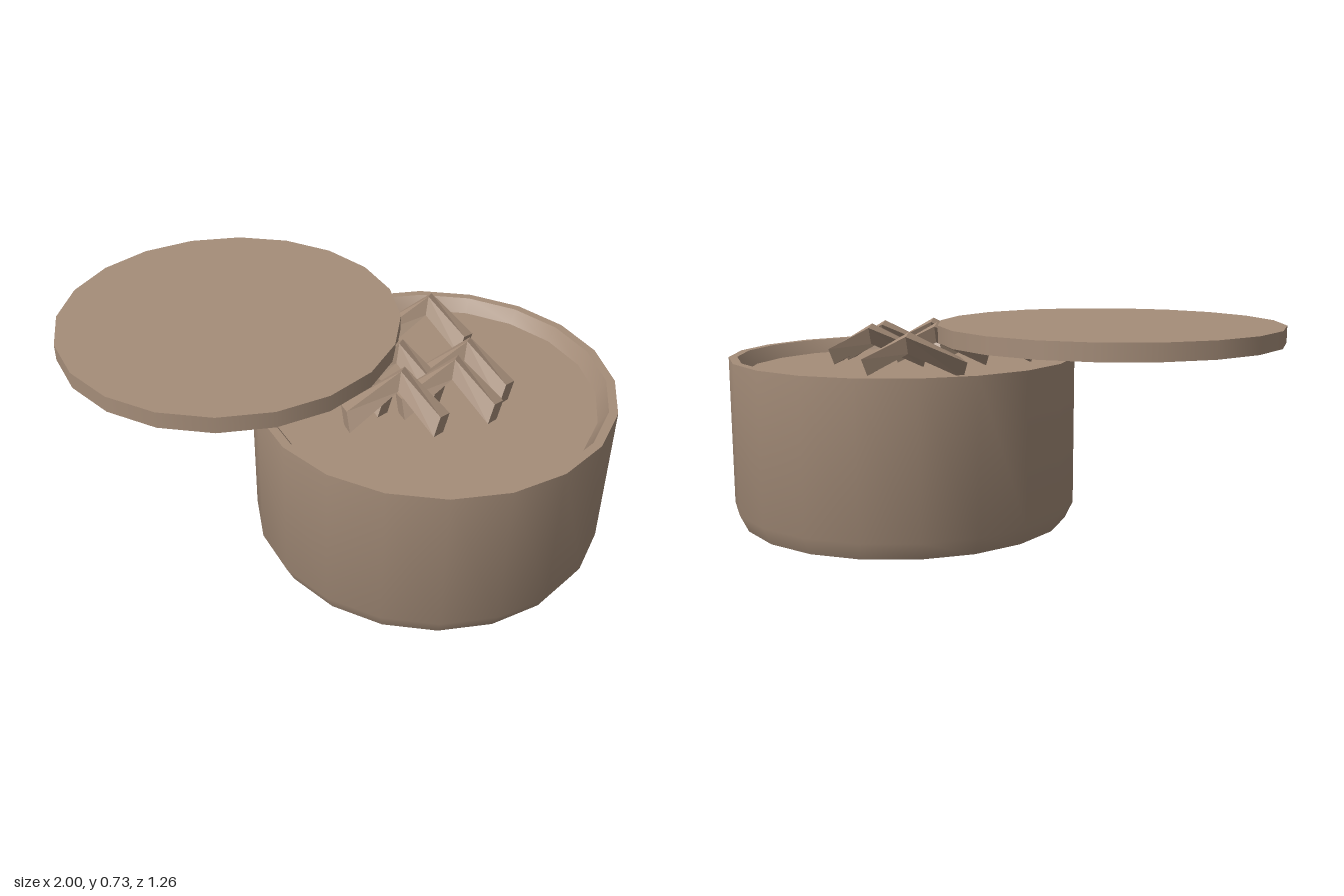
import * as THREE from 'three';
import { toCreasedNormals } from 'three/addons/utils/BufferGeometryUtils.js';

const SIDES = 20;

// Bent bar: a slanted four-sided section swept from left tip over the bend to right tip
function bentBarGeometry() {
  const section = [[0, 0], [0.012, 0.05], [-0.05, 0.08], [-0.06, 0.03]]; // y, z
  const stations = [
    { p: [-0.18, -0.10, 0.14], lean: 0.7 },
    { p: [0, 0, 0], lean: 0 },
    { p: [0.18, -0.09, 0.09], lean: -0.4 },
  ];
  const pos = [];
  for (const { p, lean } of stations) {
    for (const [y, z] of section) pos.push(p[0] + lean * z, p[1] + y, p[2] + z);
  }
  const index = [0, 2, 1, 0, 3, 2, 8, 9, 10, 8, 10, 11]; // end caps
  for (let s = 0; s < 2; s++) {
    for (let i = 0; i < 4; i++) {
      const a = s * 4 + i, b = s * 4 + ((i + 1) % 4);
      index.push(a, b, b + 4, a, b + 4, a + 4);
    }
  }
  const g = new THREE.BufferGeometry();
  g.setAttribute('position', new THREE.Float32BufferAttribute(pos, 3));
  g.setIndex(index);
  const flat = g.toNonIndexed();
  flat.computeVertexNormals();
  return flat;
}

export function createModel() {
  const model = new THREE.Group();
  const clay = new THREE.MeshStandardMaterial({ color: 0xa58d79 });
  clay.name = 'warm clay brown';

  const add = (name, geometry, x, y, z, parent = model) => {
    const mesh = new THREE.Mesh(geometry, clay);
    mesh.name = name;
    mesh.position.set(x, y, z);
    parent.add(mesh);
    return mesh;
  };

  // Pot with chamfered foot, thin rim and shallow recessed filling
  const profile = [[0, 0], [0.6, 0], [0.63, 0.062], [0.63, 0.6], [0.6, 0.6], [0.57, 0.55], [0, 0.55]]
    .map(([r, y]) => new THREE.Vector2(r, y));
  add('pot', toCreasedNormals(new THREE.LatheGeometry(profile, SIDES), 0.6), 0.37, 0, 0);

  // Lid slid off to one side
  add('lid', new THREE.CylinderGeometry(0.615, 0.615, 0.06, SIDES), -0.385, 0.695, 0);

  // Bent bars resting on the filling, placed by the bend
  const bars = new THREE.Group();
  bars.name = 'bentBars';
  model.add(bars);
  const bar = bentBarGeometry();
  const bends = [[0.26, -0.41], [0.46, -0.15], [0.445, -0.025], [0.29, 0.1], [0.24, -0.065], [0.085, 0.05]];
  bends.forEach(([x, z], i) => add(`bentBar${i + 1}`, bar, x, 0.708, z, bars));

  return model;
}
